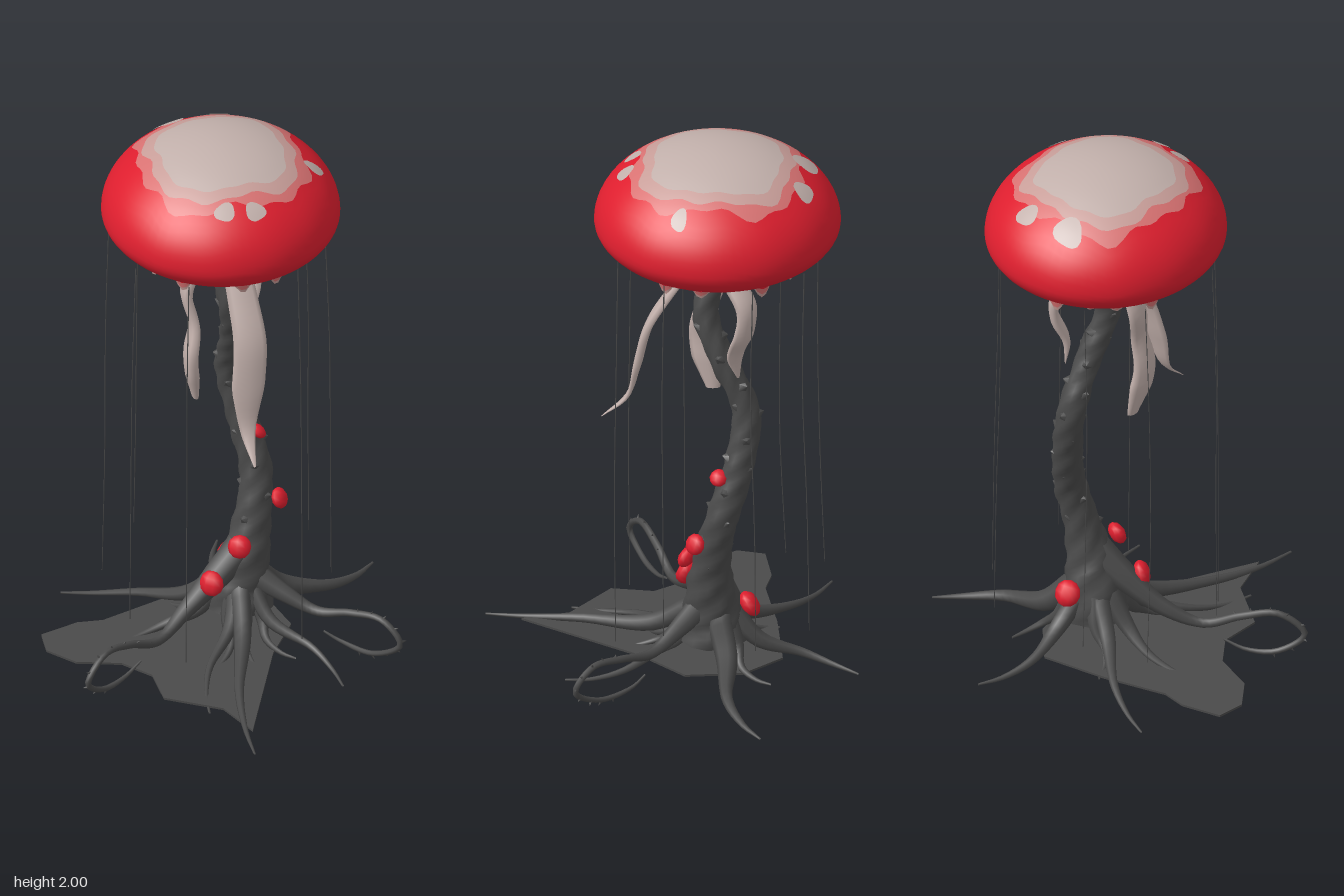
import * as THREE from 'three';
import { mergeVertices, mergeGeometries } from 'three/addons/utils/BufferGeometryUtils.js';

const paint = (name, color) => {
  const m = new THREE.MeshStandardMaterial({ color, side: THREE.DoubleSide });
  m.name = name;
  return m;
};
const V = (x, y, z) => new THREE.Vector3(x, y, z);

// smooth surface from a rule f(u, v) with u, v in 0..1
function grid(nu, nv, f) {
  const pos = [], idx = [];
  for (let i = 0; i <= nu; i++) for (let j = 0; j <= nv; j++) pos.push(...f(i / nu, j / nv).toArray());
  for (let i = 0; i < nu; i++) for (let j = 0; j < nv; j++) {
    const a = i * (nv + 1) + j, b = a + nv + 1;
    idx.push(a, a + 1, b, b, a + 1, b + 1);
  }
  const g = new THREE.BufferGeometry();
  g.setAttribute('position', new THREE.Float32BufferAttribute(pos, 3));
  g.setIndex(idx);
  const merged = mergeVertices(g, 1e-5);
  merged.computeVertexNormals();
  return merged;
}

// linear lookup in an evenly spaced list
function lookup(list, t) {
  const s = t * (list.length - 1), i = Math.min(Math.floor(s), list.length - 2);
  return list[i] + (list[i + 1] - list[i]) * (s - i);
}

// tapered tube; with flat set, it becomes a ribbon wide along that direction
function sweep(points, radii, { n = 24, sides = 8, flat = null, thin = 0.2, bump = null } = {}) {
  const curve = new THREE.CatmullRomCurve3(points.map(p => V(...p)));
  const g = new THREE.TubeGeometry(curve, n, 1, sides);
  const p = g.attributes.position, o = V(0, 0, 0);
  for (let k = 0; k < p.count; k++) {
    const ring = Math.floor(k / (sides + 1)), side = k % (sides + 1), t = ring / n;
    const c = curve.getPointAt(t);
    o.fromBufferAttribute(p, k).sub(c);
    if (flat) {
      const d = o.dot(flat);
      o.addScaledVector(flat, -d).multiplyScalar(thin).addScaledVector(flat, d);
    }
    o.multiplyScalar(lookup(radii, t) * (bump ? bump(t, side % sides) : 1)).add(c);
    p.setXYZ(k, o.x, o.y, o.z);
  }
  g.deleteAttribute('uv');
  g.deleteAttribute('normal');
  const m = mergeVertices(g, 1e-6);
  m.computeVertexNormals();
  return m;
}

// small cone standing at a point and aimed along a direction
function thorn(at, dir, r, h) {
  const g = new THREE.ConeGeometry(r, h, 5);
  g.translate(0, h / 2, 0);
  g.applyQuaternion(new THREE.Quaternion().setFromUnitVectors(V(0, 1, 0), dir.clone().normalize()));
  return g.translate(at.x, at.y, at.z);
}

export function createModel() {
  const root = new THREE.Group();
  const red = paint('cap red', 0xde1e2e), pale = paint('pale flesh', 0xc2b0ab);
  const beige = paint('dusty pink', 0xc89e99), pink = paint('salmon pink', 0xd87272);
  const dark = paint('charcoal bark', 0x4a4a4a);
  const add = (name, geo, mat) => {
    const m = new THREE.Mesh(geo, mat);
    m.name = name;
    root.add(m);
    return m;
  };

  // cap: concentric painted bands over one dome rule
  const CX = 0.01, CZ = -0.163, R = 0.413, TAU = Math.PI * 2;
  const dome = (a, u, lift = 0) => {
    const c = Math.cos(u), r = R * Math.sin(u);
    const y = c > 0 ? 1.73 + 0.27 * Math.pow(c, 1.03) : 1.73 + 0.17 * c;
    return V(CX + r * Math.cos(a), y + lift, CZ + r * 1.035 * Math.sin(a));
  };
  const square = (a, h) => h / Math.pow(Math.abs(Math.cos(a)) ** 3.2 + Math.abs(Math.sin(a)) ** 3.2, 0.3125);
  const wave = a => Math.sin(a * 7 + 1) * 0.5 + Math.sin(a * 13) * 0.5;
  const edges = [
    () => 0,
    a => Math.asin(square(a, 0.212 + 0.007 * wave(a)) / R),
    a => Math.asin(square(a, 0.25 + 0.012 * wave(a)) / R),
    a => Math.asin(square(a, 0.282 + 0.018 * wave(a + 0.6)) / R),
    () => 2.2,
  ];
  [['capCrown', pale, 8], ['capInnerRing', beige, 3], ['capOuterRing', pink, 3], ['capRim', red, 14]]
    .forEach(([name, mat, n], k) => add(name, grid(n, 72, (u, v) => {
      const a = v * TAU, e = edges[k](a);
      return dome(a, e + (edges[k + 1](a) - e) * u);
    }), mat));

  // pale spots lying on the cap
  [[-0.09, -0.46, 0.055], [0.09, -0.475, 0.042], [-0.06, 0.14, 0.036], [0.045, 0.155, 0.036], [0.32, -0.07, 0.034]]
    .forEach(([x, z, s]) => add('capSpot', grid(3, 18, (u, v) => {
      const a = v * TAU, r = s * u * (1 + 0.1 * Math.sin(a * 3 + x * 30));
      const dx = x + r * Math.cos(a) - CX, dz = (z + r * 0.8 * Math.sin(a) - CZ) / 1.035;
      return dome(Math.atan2(dz, dx), Math.asin(Math.min(1, Math.hypot(dx, dz) / R)), 0.004);
    }), pale));

  // underside of the cap
  const under = [
    () => 0.334, a => 0.295 + 0.025 * wave(a * 2), a => 0.215 + 0.045 * wave(a), () => 0.16, () => 0.1,
  ];
  [['underRim', red], ['gillPatches', beige], ['underCentre', red], ['underCollar', pink]]
    .forEach(([name, mat], k) => add(name, grid(4, 72, (u, v) => {
      const a = v * TAU, r = under[k](a) + (under[k + 1](a) - under[k](a)) * u;
      return V(CX + r * Math.cos(a), 1.63 + 0.06 * (0.334 - r) / 0.234, CZ + r * 1.035 * Math.sin(a));
    }), mat));

  // ragged veil under the rim, red above and pink at its torn edge
  const tear = a => 0.012 + 0.045 * Math.max(0, Math.sin(a * 17) * 0.6 + Math.sin(a * 11 + 2) * 0.5);
  [['veilTop', red, 0, 0.45], ['veilEdge', pink, 0.45, 0.8], ['veilTips', beige, 0.8, 1]]
    .forEach(([name, mat, from, to]) => add(name, grid(1, 120, (u, v) => {
      const a = v * TAU, f = from + (to - from) * u, r = 0.322 - 0.015 * f;
      return V(CX + r * Math.cos(a), 1.64 - f * (tear(a) + 0.008), CZ + r * 1.035 * Math.sin(a));
    }), mat));

  // collar below the cap
  const lathe = pts => new THREE.LatheGeometry(pts.map(p => new THREE.Vector2(...p)), 28).translate(CX, 0, CZ);
  add('collarTop', lathe([[0.15, 1.69], [0.128, 1.65], [0.12, 1.62]]), pink);
  add('collarMiddle', lathe([[0.12, 1.62], [0.116, 1.59]]), beige);
  add('collarSkirt', lathe([[0.116, 1.59], [0.112, 1.56], [0.125, 1.535], [0.15, 1.52], [0.125, 1.505], [0.02, 1.51]]), pale);

  // hanging ribbons
  [
    [[[-0.08, 1.54, -0.14], [-0.12, 1.42, -0.14], [-0.1, 1.3, -0.11], [-0.115, 1.18, -0.1], [-0.09, 0.99, -0.135]],
      [0.045, 0.045, 0.04, 0.052, 0.055, 0.025], V(0, 0, 1), 0.45],
    [[[0.04, 1.54, -0.07], [0.045, 1.45, -0.01], [0.05, 1.31, 0.07], [0.03, 1.13, 0.115], [0.02, 1, 0.15], [0.02, 0.91, 0.24]],
      [0.05, 0.055, 0.06, 0.06, 0.03, 0.004], V(1, 0, 0), 0.25],
    [[[0.09, 1.54, -0.22], [0.135, 1.45, -0.28], [0.15, 1.36, -0.275], [0.125, 1.25, -0.24], [0.12, 1.16, -0.25]],
      [0.045, 0.045, 0.042, 0.045, 0.035, 0.005], V(0.707, 0, 0.707), 0.4],
  ].forEach(([p, r, flat, thin]) => add('hangingRibbon', sweep(p, r, { flat, thin }), pale));

  // twisting trunk with rough bark, standing on its roots
  const trunk = [[0.07, 0.1, -0.15], [0.075, 0.2, -0.155], [0.1, 0.32, -0.15], [0.135, 0.5, -0.17], [0.145, 0.62, -0.2], [0.11, 0.8, -0.25],
    [0.07, 1, -0.27], [0.06, 1.2, -0.185], [0.035, 1.36, -0.125], [0.01, 1.53, -0.16]];
  const girth = [0.12, 0.095, 0.068, 0.058, 0.055, 0.052, 0.05, 0.045, 0.045, 0.044, 0.04];
  add('trunk', sweep(trunk, girth, { n: 70, sides: 14, bump: (t, s) => 1 + 0.05 * Math.sin(t * 90 + s * 1.8) + 0.04 * Math.sin(t * 47 - s * 2.7) }), dark);
  const trunkCurve = new THREE.CatmullRomCurve3(trunk.map(p => V(...p)));
  const barbs = [];
  for (let i = 0; i < 26; i++) {
    const t = 0.2 + i * 0.027, a = i * 2.4, d = V(Math.cos(a), 0.4, Math.sin(a));
    barbs.push(thorn(trunkCurve.getPointAt(t).addScaledVector(d, lookup(girth, t) * 0.75), d, 0.024, 0.026));
  }
  add('barkKnobs', mergeGeometries(barbs), dark);

  // flattened red growths facing out from the trunk
  [[0.15, 0.77, -0.185, 0.032], [0.207, 0.53, -0.11, 0.038], [0.05, 0.385, -0.062, 0.042], [-0.055, 0.26, -0.05, 0.046], [0.078, 0.23, -0.285, 0.048]]
    .forEach(([x, y, z, r]) => {
      const m = add('redGrowth', new THREE.SphereGeometry(r, 9, 6), red);
      m.position.set(x, y, z);
      m.lookAt(x + (x - 0.1), y + 0.06, z + (z + 0.19));
      m.scale.z = 0.65;
    });

  // flat ground sheet under the roots
  const sheet = [[-0.62, -0.15], [-0.54, -0.05], [-0.39, 0], [-0.31, 0.1], [-0.31, 0.25], [-0.13, 0.37], [-0.07, 0.53], [0.05, 0.26],
    [0.13, 0.08], [0.24, -0.08], [0.2, -0.28], [0.08, -0.4], [-0.16, -0.35], [-0.38, -0.28], [-0.47, -0.29], [-0.61, -0.25]];
  const sheetGeo = new THREE.ExtrudeGeometry(new THREE.Shape(sheet.map(([x, z]) => new THREE.Vector2(x, -z))), { depth: 0.008, bevelEnabled: false });
  add('groundSheet', sheetGeo.rotateX(-Math.PI / 2).translate(0, 0.014, 0), dark);

  // spreading roots: end point, sideways bend, thickness
  [
    [-0.1, 0.66, 0.03, 0.028], [0.14, -0.67, -0.04, 0.028], [0.62, -0.39, 0.05, 0.036], [-0.47, -0.5, 0.03, 0.025],
    [-0.18, 0.37, 0.04, 0.022], [0.31, 0.33, -0.05, 0.022], [0.2, 0.12, 0.03, 0.025], [-0.1, 0.12, -0.03, 0.025],
    [0.06, 0.16, 0.02, 0.022], [0.25, -0.38, 0.03, 0.025], [-0.14, -0.36, -0.03, 0.025], [-0.36, -0.14, 0.02, 0.028],
  ].forEach(([x, z, bend, r]) => {
    const dx = x - 0.07, dz = z + 0.155, l = Math.hypot(dx, dz);
    const at = (f, y, b) => [0.07 + dx * f - dz / l * b, y, -0.155 + dz * f + dx / l * b];
    const s = Math.min(0.4, 0.07 / l);
    add('root', sweep([at(s, 0.2, 0), at(s + 0.18, 0.1, 0), at(0.6, 0.045, bend), at(0.83, 0.018, bend * 0.7), at(1, 0.012, 0)],
      [r * 1.3, r * 1.1, r * 0.65, r * 0.4, 0.004], { n: 18, sides: 7 }), dark);
  });

  // curled thorny roots leaving the trunk and looping back at the ends
  const rightCurl = [[0.1, 0.24, -0.13], [0.2, 0.18, -0.05], [0.3, 0.135, 0.03], [0.4, 0.165, 0.12], [0.485, 0.175, 0.21],
    [0.535, 0.1, 0.265], [0.46, 0.03, 0.19], [0.37, 0.035, 0.09], [0.32, 0.06, 0.05]];
  const leftCurl = [[0.09, 0.35, -0.14], [-0.03, 0.25, -0.1], [-0.15, 0.165, -0.05], [-0.27, 0.11, 0.03], [-0.39, 0.16, 0.1],
    [-0.5, 0.185, 0.17], [-0.575, 0.11, 0.22], [-0.5, 0.035, 0.16], [-0.41, 0.03, 0.1], [-0.34, 0.06, 0.06]];
  [[rightCurl, 0.43, [0.05, 0.035, 0.02, 0.014, 0.012, 0.011, 0.01, 0.009, 0.004]],
    [leftCurl, -0.46, [0.06, 0.05, 0.032, 0.018, 0.014, 0.012, 0.011, 0.01, 0.004]]].forEach(([path, mid, radii]) => {
    add('curledRoot', sweep(path, radii, { n: 48, sides: 7 }), dark);
    const curve = new THREE.CatmullRomCurve3(path.map(p => V(...p)));
    const spikes = [];
    for (let i = 0; i < 9; i++) {
      const p = curve.getPointAt(0.45 + i * 0.05);
      spikes.push(thorn(p, V(p.x - mid, p.y - 0.1, 0.03 * (i % 2)), 0.008, 0.024));
    }
    add('curledRootThorns', mergeGeometries(spikes), dark);
  });

  // thin filaments hanging from the rim
  [[-0.355, 0, 0.2], [-0.205, 0.165, 0.1], [0.205, 0.16, 0.12], [0.36, -0.02, 0.25], [0.37, -0.33, 0.22], [0.21, -0.49, 0.22], [-0.2, -0.49, 0.25], [-0.355, -0.34, 0.18]]
    .forEach(([x, z, y], i) => add('filament', sweep(
      [[x * 0.96, 1.645, z], [x, 1.2, z + 0.005], [x * 1.01, 0.7, z + 0.012 * Math.sin(i)], [x * 1.02, y, z * 1.04]],
      [0.002, 0.0018, 0.0018, 0.0015], { n: 10, sides: 4 }), dark));

  return root;
}
